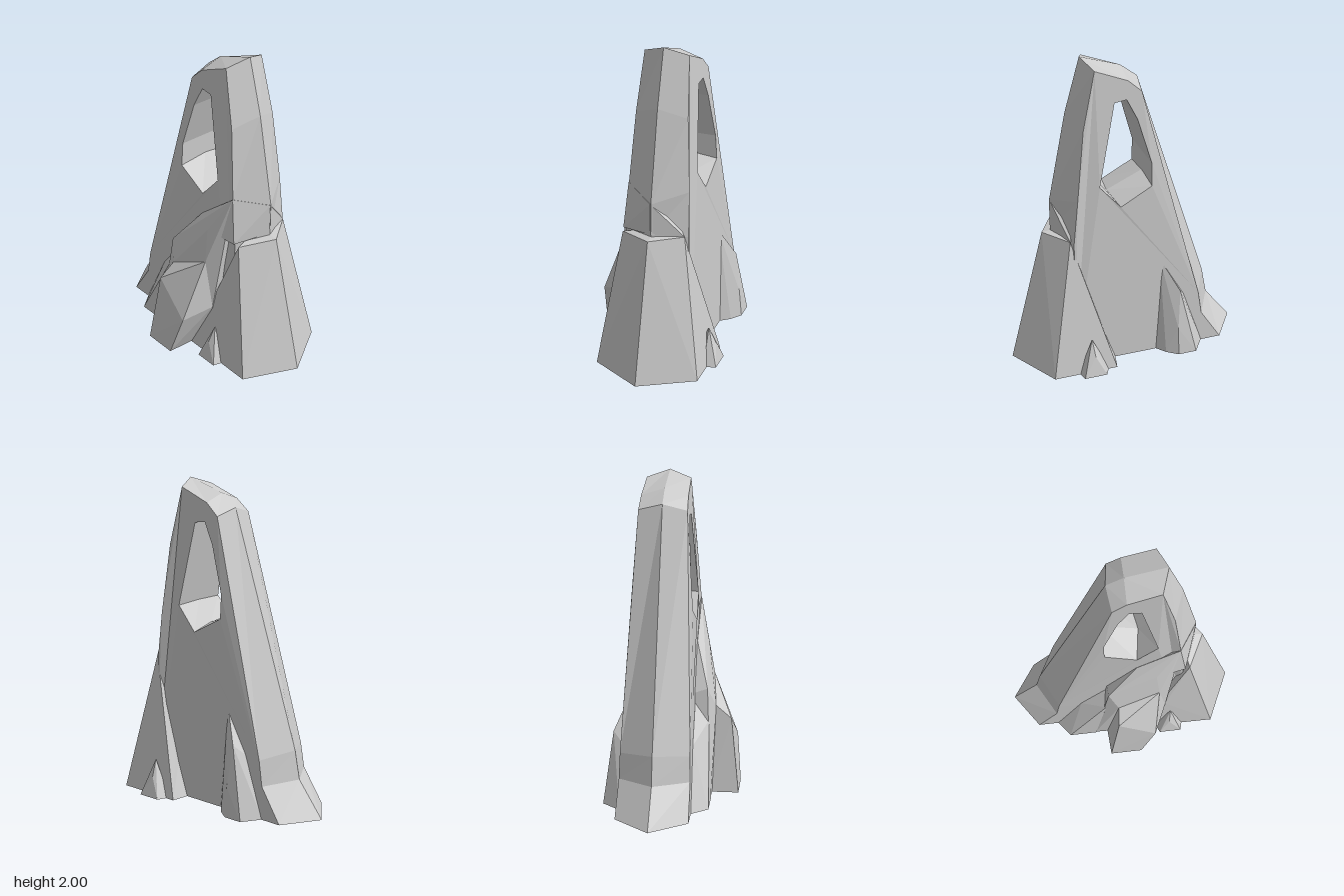
import * as THREE from 'three';
import { ConvexGeometry } from 'three/addons/geometries/ConvexGeometry.js';

const ZC = -0.05; // middle plane of the slab

// half thickness of the slab: thin at the top, thick at the ground
function halfDepth(y) {
  return y > 1.16 ? 0.195 - (y - 1.16) * 0.07 : 0.225 - y * 0.026;
}

// Slab from a face outline, a matching middle ridge, and a hole with its own middle ring
function slabGeometry(face, ridge, hole, holeRidge) {
  const pos = [];
  const at = (p, side) => [p[0], p[1], ZC + side * halfDepth(p[1])];
  const tri = (a, b, c) => pos.push(...a, ...b, ...c);
  const quad = (a, b, c, d) => { tri(a, b, c); tri(a, c, d); };

  // front and back faces
  const v2 = (list) => list.map((p) => new THREE.Vector2(...p));
  const all = [...face, ...hole];
  for (const [a, b, c] of THREE.ShapeUtils.triangulateShape(v2(face), [v2(hole)])) {
    tri(at(all[a], 1), at(all[b], 1), at(all[c], 1));
    tri(at(all[c], -1), at(all[b], -1), at(all[a], -1));
  }
  // outer rim and hole wall, each bent at the middle
  for (const [edge, mid] of [[face, ridge], [hole, holeRidge]]) {
    for (let i = 0; i < edge.length; i++) {
      const j = (i + 1) % edge.length;
      quad(at(edge[i], 1), at(mid[i], 0), at(mid[j], 0), at(edge[j], 1));
      quad(at(mid[i], 0), at(edge[i], -1), at(edge[j], -1), at(mid[j], 0));
    }
  }
  const g = new THREE.BufferGeometry();
  g.setAttribute('position', new THREE.Float32BufferAttribute(pos, 3));
  g.computeVertexNormals();
  return g;
}

export function createModel() {
  const group = new THREE.Group();
  const material = new THREE.MeshStandardMaterial({ color: 0xcccccc, flatShading: true });
  const add = (name, geometry) => {
    const mesh = new THREE.Mesh(geometry, material);
    mesh.name = name;
    group.add(mesh);
  };
  const rock = (name, points) =>
    add(name, new ConvexGeometry(points.map((p) => new THREE.Vector3(...p))));

  // leaning spire with a window
  add('spire', slabGeometry(
    [[-0.6, 0], [0.4, 0], [0.38, 0.88], [0.35, 1.16], [0.3, 1.6], [0.22, 1.955],
      [0.02, 1.875], [-0.065, 1.8], [-0.44, 0.37], [-0.465, 0.21]],
    [[-0.755, 0], [0.5, 0], [0.475, 0.9], [0.475, 1.1], [0.365, 1.66], [0.27, 2],
      [0.02, 1.92], [-0.085, 1.84], [-0.55, 0.4], [-0.585, 0.22]],
    [[0.03, 1.76], [0.105, 1.75], [0.21, 1.23], [0.08, 1.08], [-0.12, 1.19], [-0.12, 1.34], [-0.035, 1.63]],
    [[0.03, 1.76], [0.105, 1.75], [0.21, 1.235], [0.11, 1.105], [-0.12, 1.21], [-0.12, 1.34], [-0.035, 1.63]],
  ));

  // large foot on the left side
  rock('leftFoot', [
    [0.53, 0.88, -0.05], [0.42, 0.86, 0.16], [0.4, 0.885, -0.235], [0.38, 0.9, -0.05],
    [0.755, 0, -0.055], [0.6, 0, 0.275], [0.1, 0, 0.27], [0.27, 0.36, 0.23],
    [0.56, 0, -0.385], [0.15, 0, -0.385],
  ]);

  // shoulder above the foot
  rock('shoulder', [
    [0.35, 1.16, 0.147], [0.475, 1.1, -0.045], [0.475, 0.9, -0.045], [0.2, 0.9, 0.215],
    [0.39, 0.87, 0.17], [0.2, 0.9, 0], [0.35, 1.1, -0.1], [0.4, 0.885, -0.236],
  ]);

  // diagonal buttress running down the front
  rock('buttress', [
    [0.35, 1.16, 0.147], [0.08, 0.94, 0.15], [-0.11, 0.69, 0.235], [0.2, 0.9, 0.215],
    [-0.05, 0.56, 0.285], [0.22, 0.69, 0.25], [0.27, 0.36, 0.235], [0.1, 0, 0.28],
    [-0.21, 0, 0.27], [-0.12, 0.6, 0], [-0.21, 0, 0], [0.2, 0, 0], [0.3, 0.9, 0],
  ]);

  // boulder standing out in front
  rock('frontBoulder', [
    [-0.05, 0.56, 0.285], [0.22, 0.69, 0.25], [-0.06, 0.48, 0.385], [0.185, 0.29, 0.41],
    [-0.12, 0, 0.44], [0.09, 0, 0.44], [0.27, 0.36, 0.235], [0.1, 0, 0.28],
    [-0.13, 0, 0.25], [0.2, 0.65, 0.15],
  ]);

  // stepped ribs beside the boulder
  rock('frontRib', [
    [-0.13, 0.49, 0.25], [-0.12, 0.6, 0.16], [-0.29, 0.375, 0.165], [-0.28, 0.23, 0.235],
    [-0.39, 0, 0.275], [-0.21, 0, 0.275], [-0.47, 0, 0.17], [-0.1, 0, 0.1],
    [-0.36, 0.12, 0.22],
  ]);

  // ribs on the back
  rock('backRib', [
    [-0.18, 0.66, -0.24], [-0.21, 0.6, -0.18], [-0.29, 0.45, -0.33], [-0.27, 0.19, -0.365],
    [-0.39, 0, -0.385], [-0.27, 0, -0.385], [-0.2, 0, -0.335], [-0.13, 0, -0.25],
    [-0.47, 0, -0.27], [-0.36, 0.35, -0.23],
  ]);
  rock('backFootRib', [
    [0.38, 0.73, -0.24], [0.36, 0.6, -0.2], [0.31, 0.4, -0.3],
    [0.15, 0, -0.385], [0.4, 0, -0.385], [0.12, 0, -0.24], [0.45, 0.1, -0.2],
  ]);

  // small pointed stones at the foot, one in front and one behind
  const spike = (name, s, z) => rock(name, [
    [0.31, 0.235, z], [0.3, 0.13, z + s * 0.045], [0.235, 0, z + s * 0.075], [0.38, 0, z + s * 0.075],
    [0.2, 0, z], [0.4, 0, z], [0.31, 0.1, z - s * 0.06],
  ]);
  spike('frontStone', 1, 0.25);
  spike('backStone', -1, -0.365);

  return group;
}
